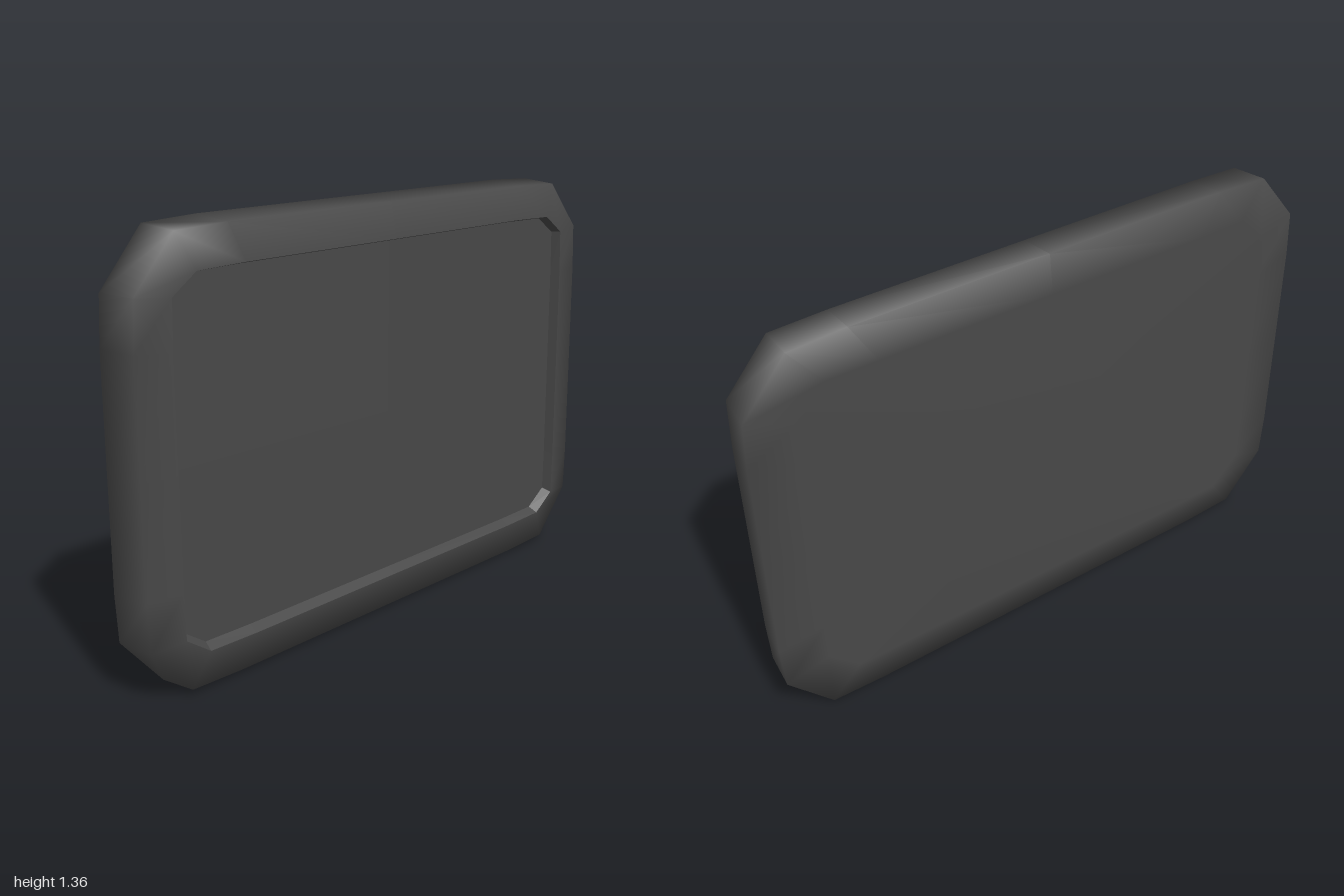
import * as THREE from 'three';

const CENTRE_Y = 0.678;

// Chamfered rectangle, counter-clockwise from the front; the sides bow out by `bow`
function ring({ hx, hy, cx, cy, z, bow = 0, y = CENTRE_Y }) {
  const ex = hx - cx, ey = hy - cy;
  const quarter = [[hx + bow, 0], [hx + bow, ey * 0.7], [hx, ey], [ex, hy], [ex * 0.78, hy + bow], [0, hy + bow]];
  const mirrorX = quarter.slice(0, -1).reverse().map(([a, b]) => [-a, b]);
  const upper = [...quarter, ...mirrorX];
  const lower = upper.slice(1, -1).reverse().map(([a, b]) => [a, -b]);
  return [...upper, ...lower].map(([a, b]) => [a, b + y, z]);
}

// Skin a series of rings, optionally closing the first or last with a fan
function loft(rings, { capStart = false, capEnd = false } = {}) {
  const n = rings[0].length;
  const points = rings.flat();
  const index = [];
  for (let r = 0; r < rings.length - 1; r++) {
    for (let i = 0; i < n; i++) {
      const j = (i + 1) % n;
      const a = r * n + i, b = r * n + j, c = a + n, d = b + n;
      index.push(a, c, d, a, d, b);
    }
  }
  const cap = (r, flip) => {
    const centre = points.push([0, CENTRE_Y, rings[r][0][2]]) - 1;
    for (let i = 0; i < n; i++) {
      const p = r * n + i, q = r * n + (i + 1) % n;
      index.push(centre, flip ? q : p, flip ? p : q);
    }
  };
  if (capStart) cap(0, false);
  if (capEnd) cap(rings.length - 1, true);
  const geometry = new THREE.BufferGeometry();
  geometry.setAttribute('position', new THREE.Float32BufferAttribute(points.flat(), 3));
  geometry.setIndex(index);
  geometry.computeVertexNormals();
  return geometry;
}

export function createModel() {
  const group = new THREE.Group();
  group.name = 'tablet';
  const material = new THREE.MeshStandardMaterial({ color: 0x484848 });
  const add = (name, geometry) => {
    const mesh = new THREE.Mesh(geometry, material);
    mesh.name = name;
    group.add(mesh);
  };

  const screenEdge = ring({ hx: 0.857, hy: 0.538, cx: 0.08, cy: 0.055, z: 0.05, bow: 0.003, y: 0.683 });
  const opening = ring({ hx: 0.868, hy: 0.55, cx: 0.085, cy: 0.06, z: 0.081, bow: 0.004 });
  const frontEdge = ring({ hx: 0.978, hy: 0.66, cx: 0.14, cy: 0.16, z: 0.06, bow: 0.006 });
  const backEdge = ring({ hx: 0.992, hy: 0.67, cx: 0.145, cy: 0.17, z: -0.067, bow: 0.008 });
  const backPanel = ring({ hx: 0.85, hy: 0.55, cx: 0.1, cy: 0.1, z: -0.083 });

  // Rounded casing: front rim, outer wall and closed back
  add('casing', loft([opening, frontEdge, backEdge, backPanel], { capEnd: true }));

  // Sloping wall of the recess
  const wall = loft([screenEdge, opening]).toNonIndexed();
  wall.computeVertexNormals();
  add('recessWall', wall);

  // Flat recessed screen
  add('screen', loft([screenEdge], { capStart: true }));

  return group;
}
